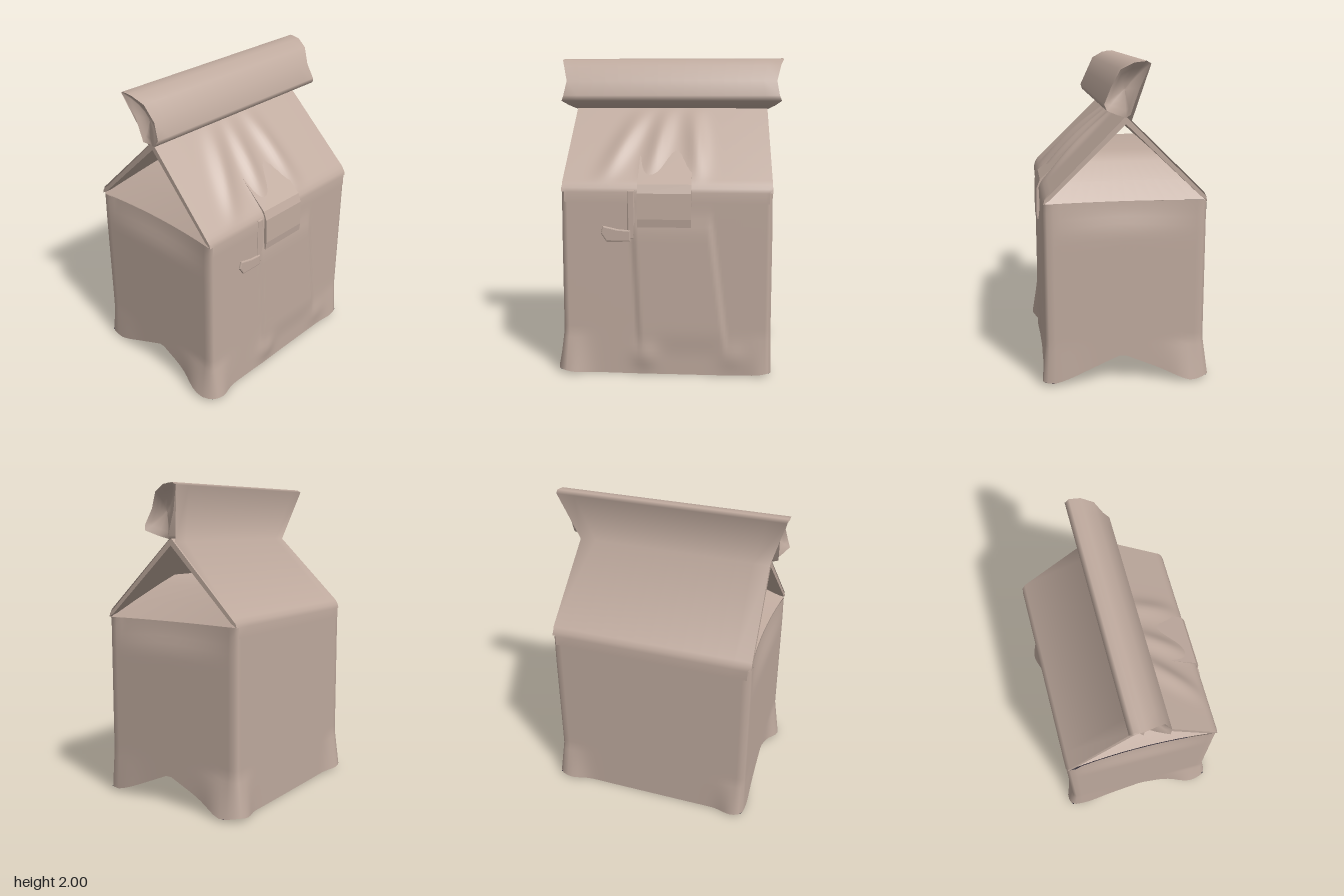
import * as THREE from 'three';

const HX = 0.655, HZ = 0.495, EAVE = 1.19, RIDGE = 1.675, CORNER = 0.02;
const paper = new THREE.MeshStandardMaterial({ name: 'brown paper', color: 0xbfaa9e, side: THREE.DoubleSide });
const dark = new THREE.MeshStandardMaterial({ name: 'dark underside', color: 0x2f2934, side: THREE.DoubleSide });
const { lerp, clamp, smoothstep } = THREE.MathUtils;
const bell = (d, w) => Math.exp(-(d * d) / (w * w));

// Smooth sheet from a rule (i, j) -> [x, y, z]; wrap joins the last column to the first
function sheet(cols, rows, rule, wrap = false) {
  const pos = [], idx = [], n = wrap ? cols : cols + 1;
  for (let j = 0; j <= rows; j++) for (let i = 0; i < n; i++) pos.push(...rule(i, j));
  for (let j = 0; j < rows; j++) for (let i = 0; i < cols; i++) {
    const a = j * n + i, b = j * n + (i + 1) % n;
    idx.push(a, b, b + n, a, b + n, a + n);
  }
  const g = new THREE.BufferGeometry();
  g.setAttribute('position', new THREE.Float32BufferAttribute(pos, 3));
  g.setIndex(idx);
  g.computeVertexNormals();
  return g;
}

// Profile of [z, y] points extruded from x0 to x1
function prism(points, x0, x1) {
  const shape = new THREE.Shape(points.map(p => new THREE.Vector2(...p)));
  return new THREE.ExtrudeGeometry(shape, { depth: x1 - x0, bevelEnabled: false })
    .rotateY(-Math.PI / 2).translate(x1, 0, 0);
}

// Outline of [x, y] points as a thin plate lying on the front wall
function plate(points, z, depth) {
  const shape = new THREE.Shape(points.map(p => new THREE.Vector2(...p)));
  return new THREE.ExtrudeGeometry(shape, {
    depth, bevelEnabled: true, bevelSize: 0.008, bevelThickness: 0.006, bevelSegments: 2,
  }).translate(0, 0, z);
}

// Arch of the bottom edge, and the uneven flare of the blunt feet
const footY = z => Math.max(0, 0.19 * (1 - Math.abs(z - 0.02) / 0.43));
function flare(x, y, z) {
  const k = clamp(1 - y / 0.27, 0, 1);
  const ax = Math.abs(x) / HX, az = Math.abs(z) / HZ;
  const out = (x * z < 0 ? 0.055 : 0.008) * k * bell(Math.abs(z) - 0.38, 0.12) * ax ** 5;
  const fwd = (x > 0 && z > 0 ? 0.022 : 0.042) * k * bell(Math.abs(x) - 0.59, 0.09) * az ** 5;
  return [x + Math.sign(x) * out, y + 0.03 * k * (ax * az) ** 6, z + Math.sign(z) * fwd];
}

// How far the top of a side wall is pulled in by its gusset
const pull = (y, z) => 0.03 * (1 - (z / HZ) ** 2) * smoothstep(y, 0.95, EAVE - 0.025);

// Raised strap on the front wall, widening downward
function strap(x, y) {
  const left = lerp(-0.16, -0.21, clamp(y, 0, 1)), right = lerp(0.4, 0.27, clamp(y, 0, 1));
  return 0.013 * smoothstep(x, left - 0.012, left + 0.012) * (1 - smoothstep(x, right - 0.012, right + 0.012))
    * smoothstep(y, 0.1, 0.3) * (1 - smoothstep(y, 0.9, 1.05));
}

// Start of both gable skins, rolling softly over the eave: [z, y, half width]
const eave = [[HZ + 0.003, 1.1, HX - CORNER], [HZ + 0.003, 1.165, HX - CORNER], [HZ - 0.006, 1.19, HX - 0.004]];

export function createModel() {
  const bag = new THREE.Group();
  bag.name = 'paperBag';
  const turned = new THREE.Group();
  turned.name = 'turnedBag';
  turned.rotation.y = -0.107;
  turned.position.set(-0.01, 0, 0.008);
  bag.add(turned);
  const add = (name, geometry, material = paper) => {
    const m = new THREE.Mesh(geometry, material);
    m.name = name;
    turned.add(m);
    return m;
  };

  // Walls: rectangular loops with softened corners
  const ring = [], r = CORNER;
  const edge = (x0, z0, x1, z1, n) => {
    for (let i = 0; i <= n; i++) ring.push([lerp(x0, x1, i / n), lerp(z0, z1, i / n)]);
  };
  edge(-HX + r, HZ, HX - r, HZ, 80);
  edge(HX, HZ - r, HX, -HZ + r, 24);
  edge(HX - r, -HZ, -HX + r, -HZ, 40);
  edge(-HX, -HZ + r, -HX, HZ - r, 24);
  const rows = 28;
  add('walls', sheet(ring.length, rows, (i, j) => {
    const [x, z] = ring[i];
    const y = lerp(footY(z), EAVE - 0.025, Math.pow(j / rows, 1.3));
    const p = flare(x, y, z);
    if (Math.abs(x) === HX) p[0] -= Math.sign(x) * pull(y, z);
    // strap and puckers near the foot of the front wall
    if (z > HZ - 0.001) {
      p[2] += strap(x, y) + bell(y - 0.12, 0.08) * (0.02 * bell(x + 0.13, 0.08) + 0.012 * bell(x - 0.42, 0.09));
    }
    return p;
  }, true));

  // Dark folded underside
  add('underside', sheet(48, 40, (i, j) => {
    const x = lerp(-HX + 0.004, HX - 0.004, i / 48), z = lerp(-HZ + 0.004, HZ - 0.004, j / 40);
    return flare(x, footY(z), z);
  }), dark);

  // Gable: two leaning panels with visible thickness, narrowing to the ridge
  const gable = prism([[HZ, EAVE - 0.025], [HZ - 0.008, EAVE], [0, RIDGE], [-HZ + 0.008, EAVE], [-HZ, EAVE - 0.025],
    [-HZ + 0.04, EAVE], [0, RIDGE - 0.045], [HZ - 0.04, EAVE]], -HX, HX);
  const gp = gable.attributes.position;
  for (let i = 0; i < gp.count; i++) gp.setX(i, gp.getX(i) * (1 - 0.035 * Math.max(0, gp.getY(i) - EAVE) / 0.48));
  add('gable', gable);

  // Creased front skin of the gable
  add('frontGableSkin', sheet(60, 23, (i, j) => {
    const s = lerp(-1, 1, i / 60);
    if (j < 3) return [s * eave[j][2], eave[j][1], eave[j][0]];
    const v = lerp(0.05, 1, (j - 3) / 20), x = s * lerp(HX, HX - 0.022, v);
    const ridges = bell(x + 0.42 - 0.25 * v, 0.07) + bell(x + 0.12 - 0.1 * v, 0.06) + bell(x - 0.2 + 0.05 * v, 0.06);
    const d = 0.003 + 0.028 * ridges * Math.sin(Math.PI * (v - 0.05) / 0.95) * (1 - s ** 8);
    return [x, lerp(EAVE, RIDGE, v) + d * 0.7, HZ * (1 - v) + d * 0.7];
  }));

  // Back skin, running on from the gable up the back of the rolled top
  const back = [...eave, [HZ * 0.95 + 0.003, 1.217, HX], [0.035, RIDGE - 0.025, HX - 0.022],
    [0.128, 1.984, 0.735], [0.1, 2.0, 0.735], [0.06, 1.996, 0.735]];
  add('backSkin', sheet(12, back.length - 1, (i, j) => {
    const [z, y, half] = back[j];
    return [lerp(-half, half, i / 12), y, z];
  }).rotateY(Math.PI));

  // Tucked-in side gussets joined by a floor under the gable
  const steps = [[-0.65, 0], [-0.55, 0.4], [-0.44, 0.78], [-0.36, 1], [0.36, 1], [0.44, 0.78], [0.55, 0.4], [0.65, 0]];
  add('gussets', sheet(steps.length - 1, 12, (i, j) => {
    const [x, t] = steps[i];
    const z = lerp(1, -1, j / 12) * lerp(HZ - 0.01, 0.235, t), y = lerp(EAVE - 0.025, 1.43, t);
    return [x - Math.sign(x) * pull(y, z), y, z];
  }));

  // Rolled top with hollowed ends, narrowing at the neck
  const section = [
    [-0.125, 1.985], [-0.1, 1.998], [-0.03, 1.99], [0.045, 1.95], [0.095, 1.85], [0.137, 1.755], [0.125, 1.72],
    [0.06, 1.69], [0, 1.667], [-0.02, 1.69], [-0.07, 1.84],
  ];
  const halfLength = y => y > 1.715 ? 0.69 + 0.052 * Math.pow((y - 1.84) / 0.155, 2) : 0.727 - 1.8 * (1.715 - y);
  const sides = section.length;
  add('rolledTop', sheet(sides, 16, (i, j) => {
    const [z, y] = section[i];
    return [lerp(-1, 1, j / 16) * halfLength(y), y, z];
  }, true));
  for (const s of [-1, 1]) {
    add(s > 0 ? 'leftRollEnd' : 'rightRollEnd', sheet(sides, 4, (i, j) => {
      const [z, y] = section[i], t = 1 - j / 4;
      return [s * lerp(0.65, halfLength(y), t * t), lerp(1.835, y, t), lerp(0.01, z, t)];
    }, true));
  }

  // Folded flap and small creases on the front
  add('frontFlap', prism([[HZ - 0.02, 0.95], [HZ + 0.016, 0.95], [HZ + 0.022, 1.0], [HZ + 0.016, 1.16], [HZ - 0.005, 1.215],
    [0.27, 1.415], [0.25, 1.4], [HZ - 0.02, 1.17]], -0.18, 0.155));
  add('sideCrease', plate([[-0.235, 0.88], [-0.2, 0.88], [-0.205, 1.17], [-0.235, 1.17]], HZ - 0.006, 0.006));
  add('smallFold', plate([[-0.37, 0.865], [-0.23, 0.865], [-0.23, 0.92], [-0.3, 0.925], [-0.39, 0.945], [-0.4, 0.91]], HZ - 0.006, 0.012));

  return bag;
}
